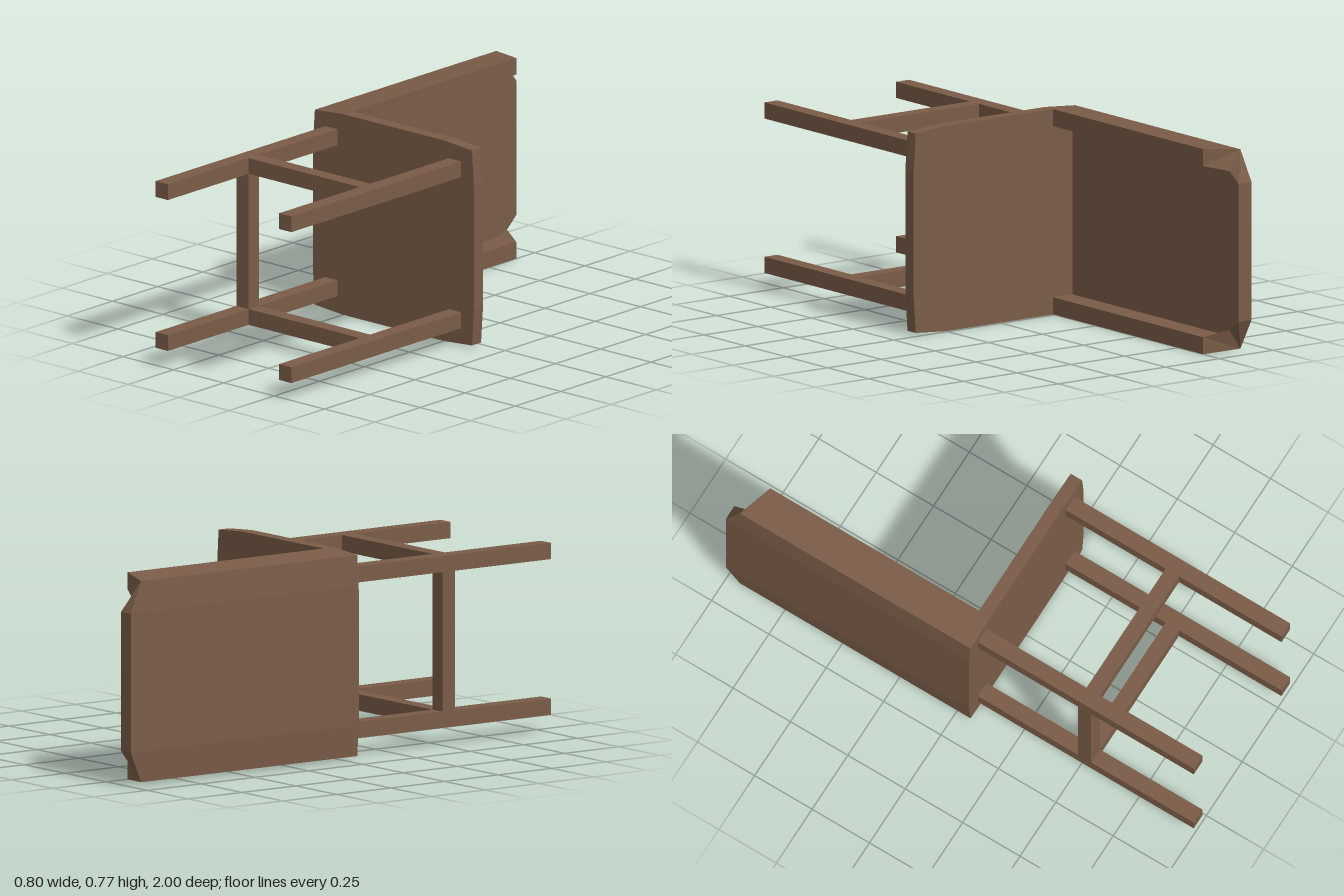
import * as THREE from 'three';

const MID = 0.3875; // height of the symmetry plane

export function createModel() {
  const model = new THREE.Group();
  const wood = new THREE.MeshStandardMaterial({ color: 0x7a5c48, flatShading: true });

  const add = (name, geometry) => {
    const mesh = new THREE.Mesh(geometry, wood);
    mesh.name = name;
    model.add(mesh);
    return mesh;
  };
  // Box given by its extents on each axis
  const bar = (name, x0, x1, y0, y1, z0, z1) =>
    add(name, new THREE.BoxGeometry(x1 - x0, y1 - y0, z1 - z0))
      .position.set((x0 + x1) / 2, (y0 + y1) / 2, (z0 + z1) / 2);

  // Seat: slab with slightly bowed edges, standing upright as the chair lies on its side
  const quarter = [[0.4, 0.235], [0.39, 0.3765], [0.25, 0.3875]];
  const flipped = [...quarter].reverse();
  const outline = [
    ...quarter,
    ...flipped.map(([x, y]) => [-x, y]),
    ...quarter.map(([x, y]) => [-x, -y]),
    ...flipped.map(([x, y]) => [x, -y]),
  ].map(([x, y]) => new THREE.Vector2(x, y + MID));
  add('seat', new THREE.ExtrudeGeometry(new THREE.Shape(outline), { depth: 0.05, bevelEnabled: false }))
    .position.z = 0.01;

  add('backrest', backrestGeometry());

  // Legs, with a stretcher joining each pair
  for (const [y0, y1] of [[0.067, 0.128], [0.65, 0.711]]) {
    bar('rearLeg', -0.338, -0.277, y0, y1, 0.06, 1);
    bar('frontLeg', 0.275, 0.336, y0, y1, 0.06, 1);
    bar('sideStretcher', -0.277, 0.275, y0, y1, 0.495, 0.553);
  }
  bar('rearStretcher', -0.338, -0.277, 0.128, 0.65, 0.495, 0.553);

  return model;
}

// Channel-shaped back with two side wings, lofted along z to a clipped top end
function backrestGeometry() {
  // Half sections: wing outer tip, outer corner, panel outside | panel inside, inner corner, wing inner tip
  const body = [[-0.25, 0.3875], [-0.39, 0.3765], [-0.4, 0.26], [-0.34, 0.26], [-0.34, 0.323], [-0.25, 0.323]];
  const tip = body.map(p => [...p]);
  tip[4][1] = 0.3;
  const tipZ = [-0.9, -0.945, -1, -1, -0.945, -0.9];
  const section = (half, z) => {
    const point = (i, s) => [half[i][0], MID + s * half[i][1], Array.isArray(z) ? z[i] : z];
    return [
      ...[0, 1, 2].map(i => point(i, 1)),
      ...[2, 1, 0, 5, 4, 3].map(i => point(i, -1)),
      ...[3, 4, 5].map(i => point(i, 1)),
    ];
  };
  const rings = [section(body, 0.03), section(body, -0.895), section(tip, tipZ)];
  const n = rings[0].length;
  const index = [];
  for (let r = 0; r < rings.length - 1; r++) {
    for (let i = 0; i < n; i++) {
      const a = r * n + i, b = r * n + (i + 1) % n;
      index.push(a, a + n, b + n, a, b + n, b);
    }
  }
  // Top end: two clipped corners and the straight middle
  const end = (rings.length - 1) * n;
  const corner = [[0, 11, 1], [11, 10, 1], [1, 10, 9], [1, 9, 2]];
  const mirror = i => (i < 6 ? 5 - i : 17 - i);
  for (const [a, b, c] of corner) {
    index.push(end + a, end + b, end + c);
    index.push(end + mirror(a), end + mirror(c), end + mirror(b));
  }
  index.push(end + 2, end + 9, end + 8, end + 2, end + 8, end + 3);

  const geometry = new THREE.BufferGeometry();
  geometry.setAttribute('position', new THREE.Float32BufferAttribute(rings.flat(2), 3));
  geometry.setIndex(index);
  const flat = geometry.toNonIndexed();
  flat.computeVertexNormals();
  return flat;
}
